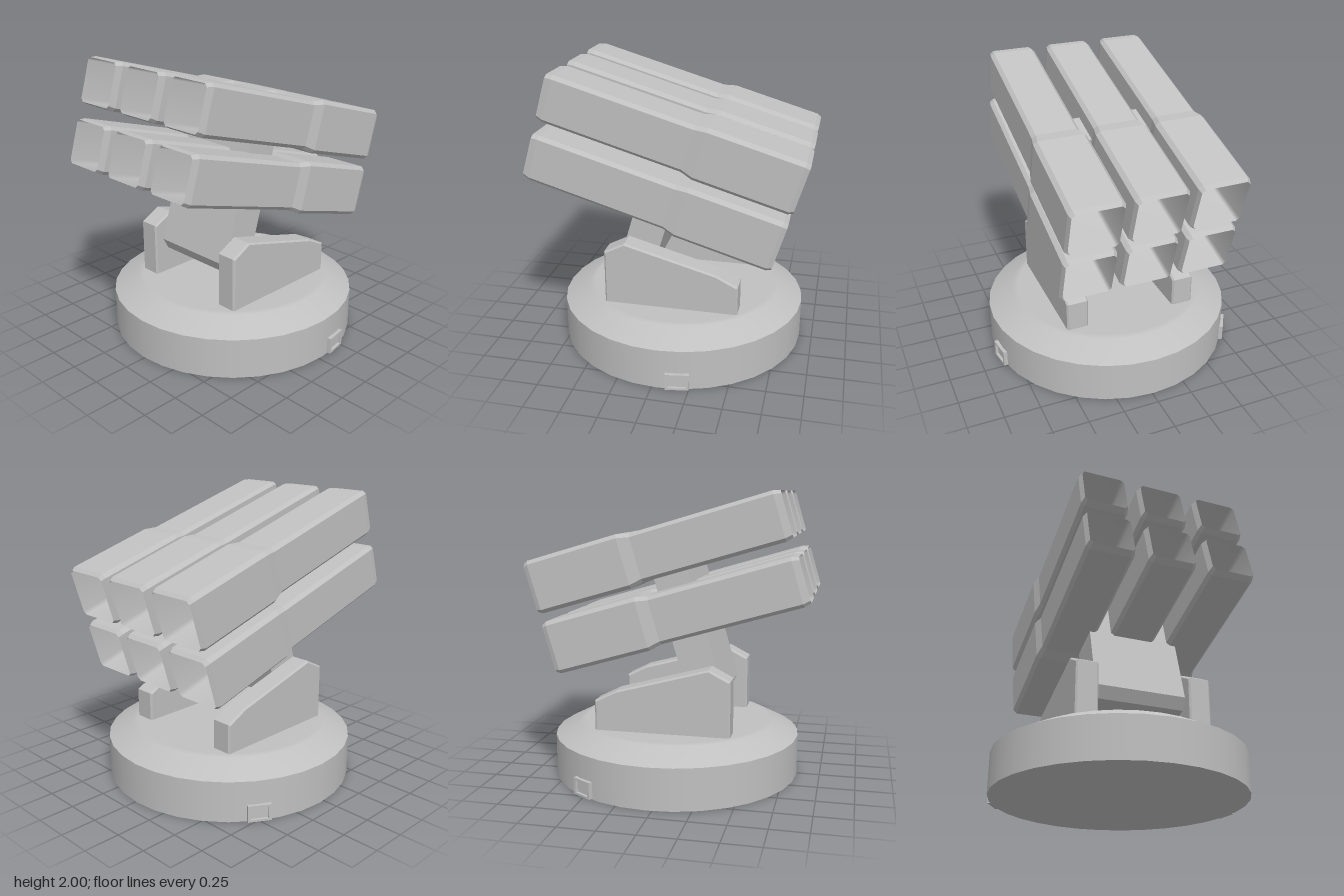
import * as THREE from 'three';
import { toCreasedNormals } from 'three/addons/utils/BufferGeometryUtils.js';

const CX = -0.015, CZ = -0.035; // axis of the turntable
const grey = new THREE.MeshStandardMaterial({ color: 0xc0c0c0 });
grey.name = 'grey';

function add(parent, name, geometry) {
  const mesh = new THREE.Mesh(geometry, grey);
  mesh.name = name;
  parent.add(mesh);
  return mesh;
}

// Square section with cut corners, counter-clockwise seen from +z
function ring(z, h, c) {
  const k = h - c;
  return [[h, -k], [h, k], [k, h], [-k, h], [-h, k], [-h, -k], [-k, -h], [k, -h]]
    .flatMap(([x, y]) => [x, y, z]);
}

// Skin through [z, halfSize, cornerCut] sections, with an optional end wall
function loft(sections, endWall) {
  const pos = sections.flatMap((s) => ring(...s));
  const index = [];
  for (let r = 0; r < sections.length - 1; r++) {
    for (let i = 0; i < 8; i++) {
      const a = r * 8 + i, b = r * 8 + (i + 1) % 8;
      index.push(a, b, b + 8, a, b + 8, a + 8);
    }
  }
  if (endWall) {
    const first = (sections.length - 1) * 8;
    pos.push(0, 0, sections.at(-1)[0]);
    for (let i = 0; i < 8; i++) index.push(first + 8, first + i, first + (i + 1) % 8);
  }
  const g = new THREE.BufferGeometry();
  g.setAttribute('position', new THREE.Float32BufferAttribute(pos, 3));
  g.setIndex(index);
  g.computeVertexNormals();
  return g;
}

// Plate cut from a [z, y] outline and extruded across x, centred on x = 0
function sidePlate(points, width, bevel) {
  const shape = new THREE.Shape(points.map(([z, y]) => new THREE.Vector2(z, y)));
  const depth = width - 2 * bevel;
  const g = new THREE.ExtrudeGeometry(shape, {
    depth, bevelEnabled: bevel > 0, bevelSize: bevel, bevelThickness: bevel,
    bevelOffset: -bevel, bevelSegments: 1,
  });
  return g.translate(0, 0, -depth / 2).rotateY(-Math.PI / 2);
}

function rect(Type, w, h) {
  return new Type([[-w, -h], [w, -h], [w, h], [-w, h]].map(([x, y]) => new THREE.Vector2(x / 2, y / 2)));
}

export function createModel() {
  const model = new THREE.Group();
  model.name = 'launcher';

  // Round turntable with a sloping shoulder
  const base = new THREE.Group();
  base.name = 'turntable';
  base.position.set(CX, 0, CZ);
  model.add(base);
  add(base, 'turntableWall', new THREE.CylinderGeometry(0.875, 0.875, 0.285, 32, 1, true).translate(0, 0.1425, 0));
  const shoulder = [[0.875, 0.285], [0.70, 0.375], [0.66, 0.38], [0, 0.38]];
  add(base, 'turntableTop', new THREE.LatheGeometry(shoulder.map(([x, y]) => new THREE.Vector2(x, y)), 32));
  add(base, 'turntableBottom', new THREE.CircleGeometry(0.875, 32).rotateX(Math.PI / 2));

  // Framed hatches on the wall
  const frame = rect(THREE.Shape, 0.16, 0.115);
  frame.holes.push(rect(THREE.Path, 0.12, 0.085));
  for (const degrees of [99, 238]) {
    const hatch = new THREE.Group();
    hatch.name = 'hatch';
    hatch.rotation.y = THREE.MathUtils.degToRad(degrees);
    base.add(hatch);
    add(hatch, 'hatchFrame', new THREE.ExtrudeGeometry(frame, { depth: 0.05, bevelEnabled: false }))
      .position.set(0, 0.063, 0.846);
    add(hatch, 'hatchPanel', new THREE.BoxGeometry(0.13, 0.095, 0.02)).position.set(0, 0.063, 0.868);
  }

  // Pair of side brackets
  const bracket = [[0.43, 0.34], [0.43, 0.76], [0.285, 0.835], [-0.355, 0.66], [-0.505, 0.585], [-0.505, 0.34]];
  for (const side of [-1, 1]) {
    add(model, side > 0 ? 'leftBracket' : 'rightBracket', sidePlate(bracket, 0.155, 0.012))
      .position.x = CX + side * 0.3975;
  }

  // Tilted assembly: local z runs along the tubes
  const cradle = new THREE.Group();
  cradle.name = 'tiltedAssembly';
  cradle.rotation.x = THREE.MathUtils.degToRad(-16.5);
  model.add(cradle);

  const post = [[0.527, 0.512], [0.527, 1.6], [0.285, 1.6], [0.285, 0.512], [0.35, 0.447], [0.462, 0.447]];
  add(cradle, 'supportPost', sidePlate(post, 0.64, 0)).position.x = CX;

  // Six tubes, wider towards the rear, hollow from both ends
  const shell = toCreasedNormals(loft([
    [-0.474, 0.168, 0.022], [-0.442, 0.181, 0.026], [0.195, 0.181, 0.026],
    [0.278, 0.162, 0.024], [1.228, 0.162, 0.024], [1.276, 0.149, 0.02],
  ]), 0.05);
  const frontBore = loft([[1.276, 0.149, 0.02], [0.53, 0.149, 0.02]], true);
  const rearBore = loft([[0.474, 0.168, 0.022], [-0.28, 0.149, 0.02]], true).rotateY(Math.PI);
  for (const y of [1.136, 1.555]) {
    for (const column of [-1, 0, 1]) {
      const tube = new THREE.Group();
      tube.name = 'launchTube';
      tube.position.set(CX - 0.002 + column * 0.42, y, 0);
      cradle.add(tube);
      add(tube, 'tubeShell', shell);
      add(tube, 'frontBore', frontBore);
      add(tube, 'rearBore', rearBore);
    }
  }
  return model;
}
